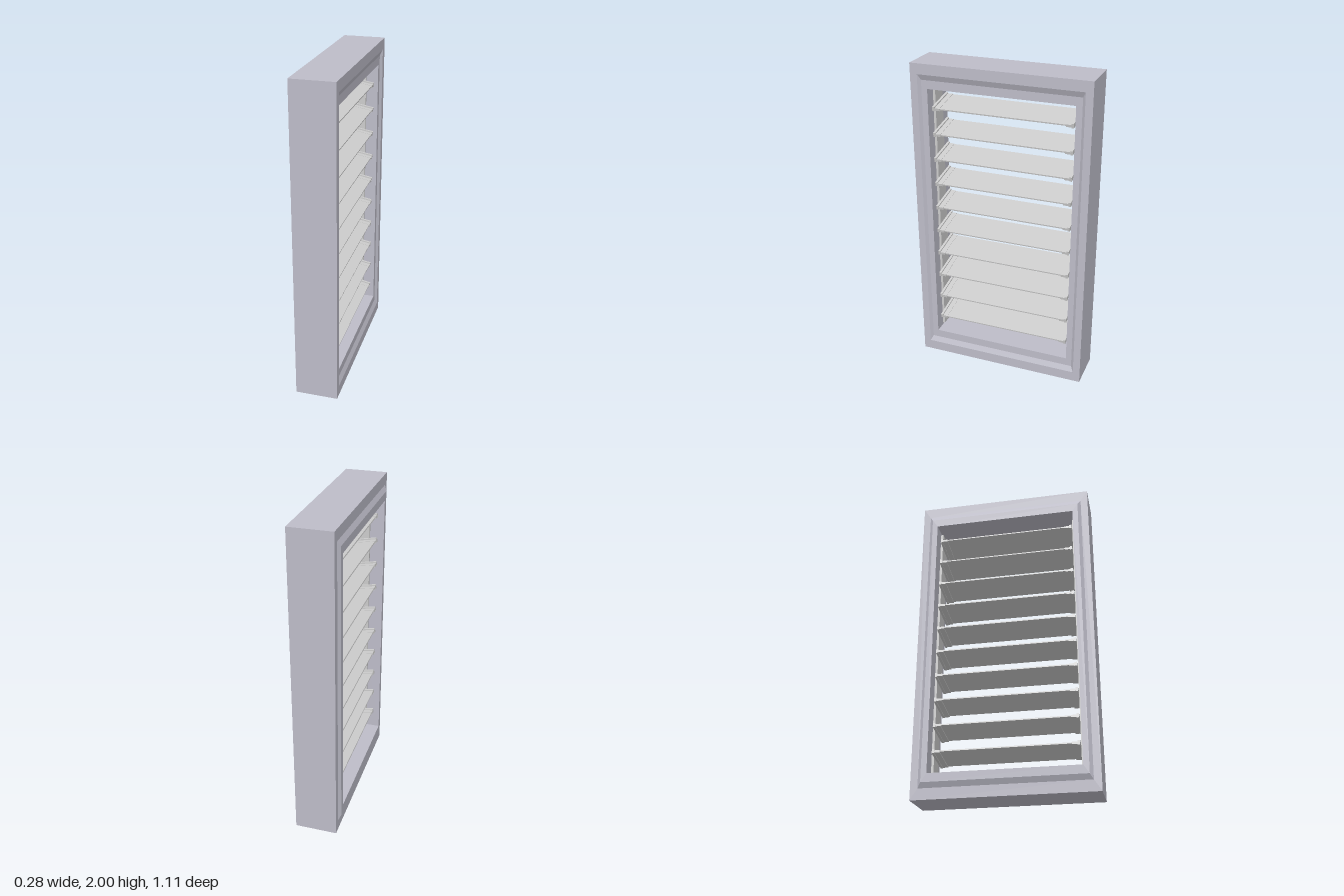
import * as THREE from 'three';

const frameMat = new THREE.MeshStandardMaterial({ color: 0xbdbcc8, flatShading: true });
const greyMat = new THREE.MeshStandardMaterial({ color: 0xcccccc, flatShading: true });

// Sweep a section of [x, half width in z, inset from top and bottom] around a rectangle
function sweepFrame(section) {
  const corners = ([x, w, inset]) => [
    [x, inset, w], [x, inset, -w], [x, 2 - inset, -w], [x, 2 - inset, w],
  ];
  const pos = [];
  section.forEach((p, i) => {
    const near = corners(p);
    const far = corners(section[(i + 1) % section.length]);
    for (let k = 0; k < 4; k++) {
      const n = (k + 1) % 4;
      pos.push(...near[k], ...near[n], ...far[n], ...near[k], ...far[n], ...far[k]);
    }
  });
  const geo = new THREE.BufferGeometry();
  geo.setAttribute('position', new THREE.Float32BufferAttribute(pos, 3));
  geo.computeVertexNormals();
  return geo;
}

function addBox(parent, name, size, position) {
  const mesh = new THREE.Mesh(new THREE.BoxGeometry(...size), greyMat);
  mesh.name = name;
  mesh.position.set(...position);
  parent.add(mesh);
}

// One tilted blade with a holder at each end
function makeSlat() {
  const slat = new THREE.Group();
  slat.name = 'slat';
  addBox(slat, 'blade', [0.2, 0.008, 0.84], [0, 0, 0]);
  for (const s of [1, -1]) {
    addBox(slat, 'bladeClip', [0.204, 0.016, 0.032], [0, -0.002, s * 0.409]);
    addBox(slat, 'endPlate', [0.206, 0.028, 0.015], [0, 0, s * 0.4325]);
  }
  slat.rotation.z = -0.18;
  return slat;
}

export function createModel() {
  const model = new THREE.Group();
  model.name = 'louvredWindow';

  // Frame with a chamfered recess on one face and a matching raised rim on the other
  const frame = new THREE.Mesh(sweepFrame([
    [-0.125, 0.555, 0], [0.14, 0.555, 0],
    [0.14, 0.51, 0.065], [0.125, 0.492, 0.1],
    [0.125, 0.455, 0.152], [-0.14, 0.455, 0.152],
    [-0.14, 0.49, 0.1], [-0.125, 0.51, 0.068],
  ]), frameMat);
  frame.name = 'frame';
  model.add(frame);

  // Upright strips that carry the slats
  for (const s of [1, -1]) {
    addBox(model, 'sideStrip', [0.1, 1.67, 0.015], [0, 1.003, s * 0.4475]);
  }

  // Ten evenly spaced slats
  for (let i = 0; i < 10; i++) {
    const slat = makeSlat();
    slat.position.y = 0.276 + i * 0.1625;
    model.add(slat);
  }
  return model;
}
